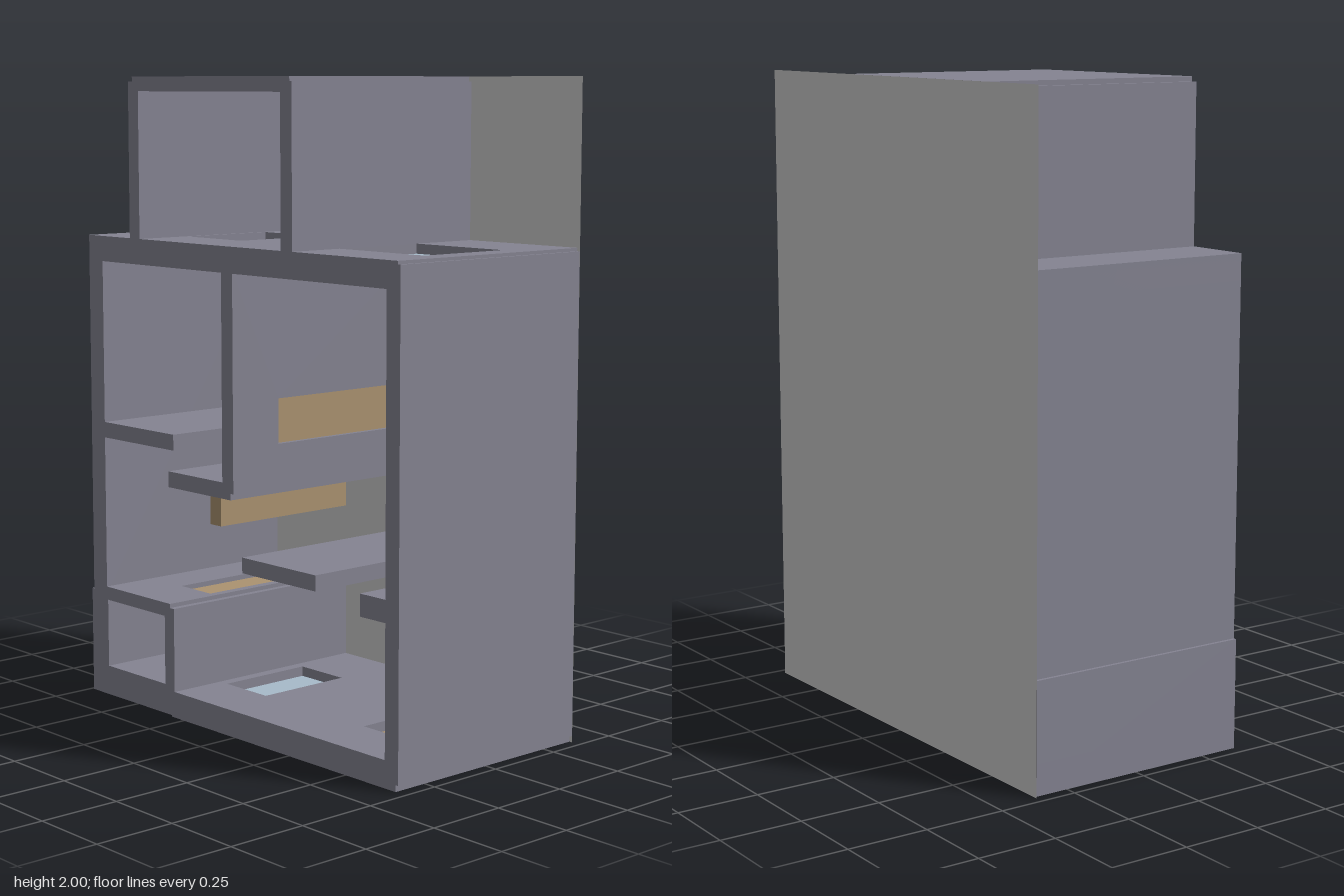
import * as THREE from 'three';

const D = 0.365; // half depth
const BACK = -0.355; // openings that run to the back stop here

const mat = (color) => new THREE.MeshStandardMaterial({ color, flatShading: true });

export function createModel() {
  const root = new THREE.Group();
  const stone = mat(0x858492), wood = mat(0xab9370), glass = mat(0xa7bbca);
  const grey = new THREE.MeshStandardMaterial({ color: 0xcccccc, side: THREE.DoubleSide });

  const add = (name, geo, material) => {
    const mesh = new THREE.Mesh(geo, material);
    mesh.name = name;
    root.add(mesh);
    return mesh;
  };

  // box given by its limits
  const block = (name, x0, x1, y0, y1, z0 = -D, z1 = D, material = stone) => {
    const geo = new THREE.BoxGeometry(x1 - x0, y1 - y0, z1 - z0);
    geo.translate((x0 + x1) / 2, (y0 + y1) / 2, (z0 + z1) / 2);
    return add(name, geo, material);
  };

  const trace = (path, a0, a1, b0, b1) =>
    path.moveTo(a0, b0).lineTo(a1, b0).lineTo(a1, b1).lineTo(a0, b1).closePath();

  // rectangle with rectangular openings, extruded
  const pierced = (a0, a1, b0, b1, depth, holes) => {
    const shape = new THREE.Shape();
    trace(shape, a0, a1, b0, b1);
    for (const h of holes) {
      const path = new THREE.Path();
      trace(path, ...h);
      shape.holes.push(path);
    }
    return new THREE.ExtrudeGeometry(shape, { depth, bevelEnabled: false });
  };

  // floor or roof whose openings hold recessed panels: [name, x0, x1, z0, z1, material]
  const slab = (name, x0, x1, y0, y1, panels) => {
    const holes = panels.map(([, a, b, c, d]) => [a, b, -d, -c]);
    const geo = pierced(x0, x1, -D, D, y1 - y0, holes);
    geo.rotateX(-Math.PI / 2).translate(0, y0, 0);
    add(name, geo, stone);
    const mid = (y0 + y1) / 2, t = (y1 - y0) * 0.12;
    for (const [label, a, b, c, d, material] of panels)
      block(label, a, b, mid - t, mid + t, c, d, material);
  };

  // backdrop
  const back = add('backPanel', new THREE.PlaneGeometry(1.445, 2), grey);
  back.position.set(-0.0025, 1, -D - 0.001);

  // main shell
  slab('groundFloor', -0.31, 0.71, 0, 0.083, [
    ['floorWindow', -0.26, -0.07, -0.14, 0.18, glass],
    ['floorHatch', 0.38, 0.52, BACK, 0.18, wood],
  ]);
  block('rightOuterWall', 0.665, 0.72, 0.02, 1.49);
  block('leftOuterWall', -0.715, -0.645, 0.34, 1.5);
  slab('mainRoof', -0.715, 0.71, 1.42, 1.5, [
    ['roofWindow', 0.27, 0.625, -0.135, 0.18, glass],
    ['atticFloorWindow', -0.44, -0.18, -0.14, 0.18, glass],
  ]);

  // attic
  block('atticLeftWall', -0.5, -0.45, 1.5, 1.985);
  block('atticRightWall', 0.22, 0.27, 1.5, 1.985);
  block('atticRoof', -0.48, 0.26, 1.955, 2);

  // small lower room
  block('lowerRoomFloor', -0.725, -0.31, 0.005, 0.1);
  block('lowerRoomLeftWall', -0.725, -0.64, 0.01, 0.345);
  block('lowerRoomRightWall', -0.342, -0.295, 0.02, 0.35);
  slab('lowerRoomRoof', -0.715, -0.315, 0.32, 0.363, [
    ['lowerRoomHatch', -0.49, -0.343, BACK, 0.18, wood],
  ]);

  // dividing wall with a wooden shutter
  const wall = pierced(-D, D, 0.755, 1.43, 0.052, [[-0.185, -BACK, 0.89, 1.03]]);
  wall.rotateY(Math.PI / 2).translate(-0.052, 0, 0);
  add('dividingWall', wall, stone);
  block('wallShutter', -0.036, -0.016, 0.89, 1.03, BACK, 0.185, wood);

  // ledges
  block('dividerLedge', -0.315, -0.013, 0.735, 0.785);
  block('leftShelf', -0.65, -0.29, 0.853, 0.903);
  block('floatingPlatform', 0.04, 0.37, 0.52, 0.568);
  block('rightLedge', 0.56, 0.67, 0.48, 0.547);

  // door hanging below the ledge
  block('hangingDoor', -0.338, -0.285, 0.59, 0.73, BACK, 0.18, wood);

  return root;
}
